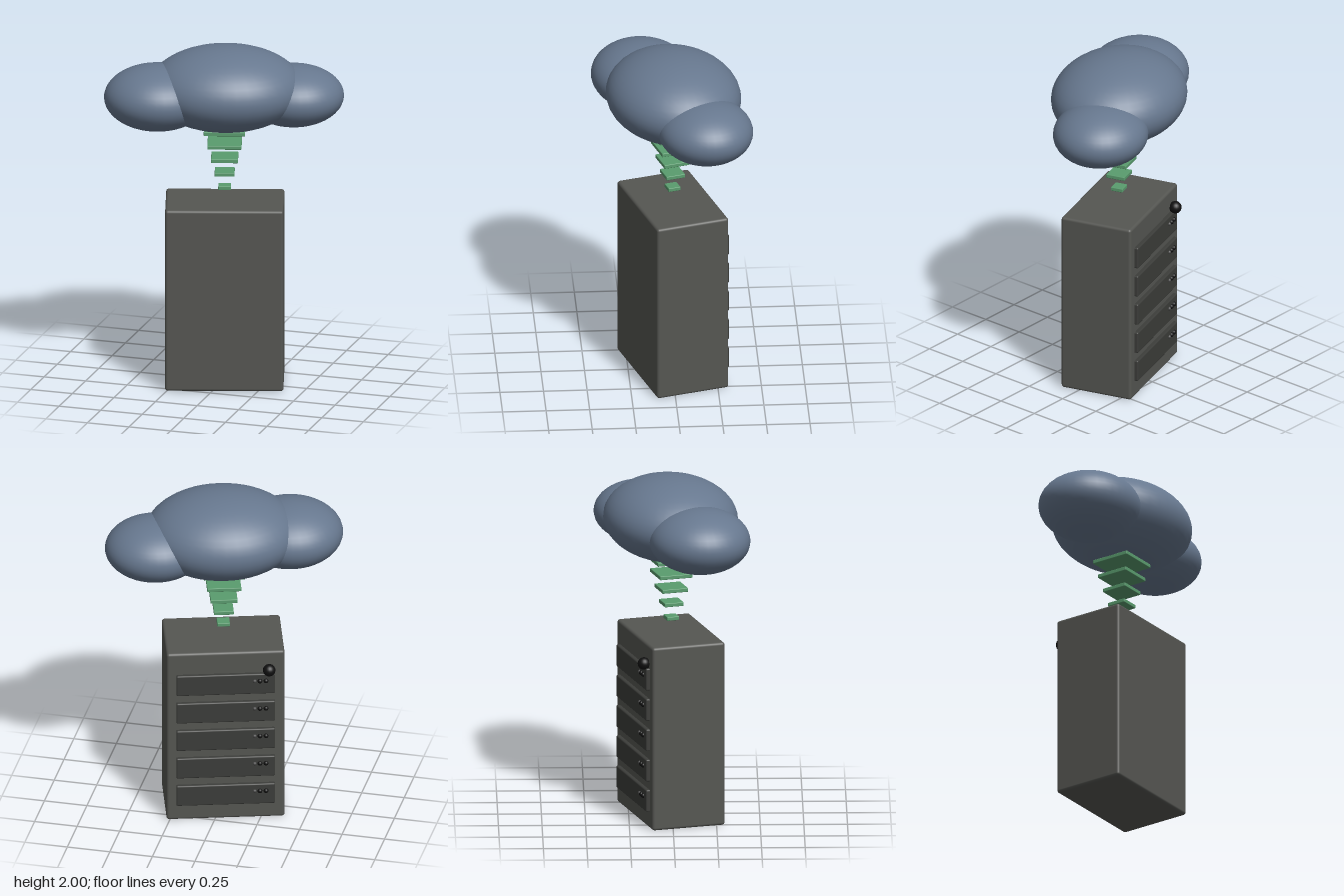
import * as THREE from 'three';
import { RoundedBoxGeometry } from 'three/addons/geometries/RoundedBoxGeometry.js';

const TURN = 0.293; // whole scene is turned about y

const mat = (color) => new THREE.MeshStandardMaterial({ color });

export function createModel() {
  const model = new THREE.Group();
  const cabinetMat = mat(0x555652);
  const drawerMat = mat(0x3c3d3a);
  const blackMat = mat(0x101010);
  const greyMat = mat(0x4a4a4a);
  const greenMat = mat(0x5a9c6e);
  const cloudMat = mat(0x67788f);

  const add = (parent, name, geometry, material, x, y, z) => {
    const mesh = new THREE.Mesh(geometry, material);
    mesh.name = name;
    mesh.position.set(x, y, z);
    parent.add(mesh);
    return mesh;
  };

  // Server cabinet
  const W = 0.678, H = 1.085, D = 0.436;
  const server = new THREE.Group();
  server.name = 'server';
  server.position.set(0.005, 0, -0.007);
  server.rotation.y = TURN;
  model.add(server);
  add(server, 'cabinet', new RoundedBoxGeometry(W, H, D, 3, 0.016), cabinetMat, 0, H / 2, 0);

  // Five drawers on the back face, each with three indicator lights
  const drawerGeo = new RoundedBoxGeometry(0.567, 0.13, 0.044, 2, 0.008);
  const lightGeo = new THREE.SphereGeometry(0.014, 16, 10);
  const smallLightGeo = new THREE.SphereGeometry(0.011, 16, 10);
  for (let i = 0; i < 5; i++) {
    const y = 0.165 + i * 0.18;
    add(server, 'drawer', drawerGeo, drawerMat, 0, y, -D / 2);
    const faceZ = -D / 2 - 0.022;
    add(server, 'smallLight', smallLightGeo, greyMat, -0.165, y + 0.02, faceZ);
    for (const x of [-0.195, -0.23]) add(server, 'light', lightGeo, blackMat, x, y + 0.02, faceZ);
  }
  add(server, 'knob', new THREE.SphereGeometry(0.036, 20, 14), blackMat, -0.248, 0.975, -D / 2 - 0.024);

  // Signal plates widening towards the cloud
  const signal = new THREE.Group();
  signal.name = 'signal';
  signal.position.set(0.005, 0, -0.005);
  signal.rotation.y = TURN;
  model.add(signal);
  for (let i = 0; i < 5; i++) {
    const s = 0.073 + i * 0.041;
    add(signal, 'signalPlate', new RoundedBoxGeometry(s, 0.023, s, 2, 0.004), greenMat, 0, 1.165 + i * 0.0875, 0);
  }

  // Cloud of three overlapping ellipsoids: name, centre, semi-axes
  const cloud = new THREE.Group();
  cloud.name = 'cloud';
  model.add(cloud);
  const puffGeo = new THREE.SphereGeometry(1, 40, 24);
  const puffs = [
    ['middlePuff', [0.01, 1.757, -0.01], [0.446, 0.243, 0.38]],
    ['leftPuff', [0.366, 1.699, -0.173], [0.289, 0.175, 0.271]],
    ['rightPuff', [-0.35, 1.717, 0.152], [0.306, 0.188, 0.289]],
  ];
  for (const [name, centre, radii] of puffs) {
    const puff = add(cloud, name, puffGeo, cloudMat, ...centre);
    puff.scale.set(...radii);
    puff.rotation.y = TURN;
  }

  return model;
}
